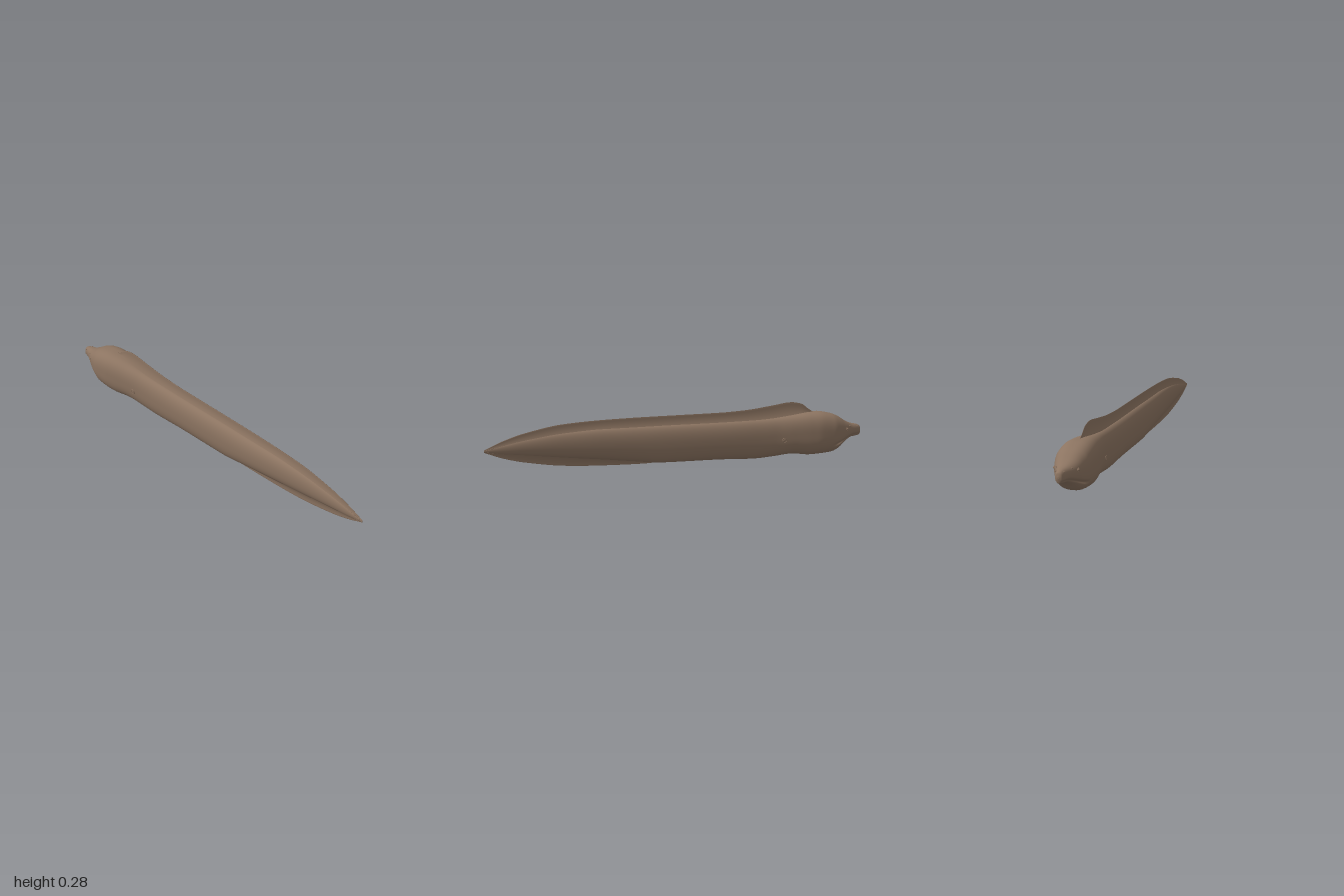
import * as THREE from 'three';

const skin = new THREE.MeshStandardMaterial({ color: 0x8c7461, side: THREE.DoubleSide });
skin.name = 'brown skin';

// Body stations from snout to tail: z, bottom, top, half width, squareness
const BODY = [
  [-1, 0.118, 0.128, 0.004, 2], [-0.995, 0.098, 0.146, 0.016, 2.2], [-0.98, 0.094, 0.154, 0.022, 2.3],
  [-0.94, 0.088, 0.163, 0.036, 2.3], [-0.9, 0.066, 0.182, 0.058, 2.4], [-0.86, 0.034, 0.207, 0.074, 2.5],
  [-0.82, 0.018, 0.222, 0.085, 2.6], [-0.75, 0.012, 0.233, 0.087, 2.7], [-0.7, 0.01, 0.232, 0.082, 2.7],
  [-0.6, 0.02, 0.222, 0.067, 2.6], [-0.5, 0.011, 0.212, 0.054, 2.5], [-0.4, 0.005, 0.207, 0.05, 2.4],
  [-0.2, 0.012, 0.205, 0.048, 2.3], [0.1, 0.016, 0.206, 0.045, 2.3], [0.25, 0.032, 0.206, 0.042, 2.2],
  [0.4, 0.05, 0.206, 0.038, 2.2], [0.6, 0.071, 0.197, 0.028, 2.1], [0.8, 0.094, 0.172, 0.016, 2],
  [0.92, 0.108, 0.148, 0.008, 2], [1, 0.122, 0.13, 0.002, 2]
];
// Fin edges: z, y
const DORSAL = [
  [-0.74, 0.225], [-0.7, 0.25], [-0.66, 0.278], [-0.6, 0.288], [-0.5, 0.276], [-0.35, 0.259], [-0.2, 0.253],
  [0.2, 0.252], [0.4, 0.249], [0.6, 0.239], [0.8, 0.204], [0.9, 0.174], [1, 0.132]
];
const ANAL = [[0.1, 0.02], [0.2, 0.016], [0.4, 0.02], [0.6, 0.031], [0.8, 0.06], [0.9, 0.084], [1, 0.12]];

// Smooth interpolation through table rows by their first column
function sample(table, z, col) {
  const n = table.length;
  let i = 0;
  while (i < n - 2 && z > table[i + 1][0]) i++;
  const slope = k => {
    if (k === 0 || k === n - 1) {
      const j = k === 0 ? 0 : n - 2;
      return (table[j + 1][col] - table[j][col]) / (table[j + 1][0] - table[j][0]);
    }
    const a = (table[k][col] - table[k - 1][col]) / (table[k][0] - table[k - 1][0]);
    const b = (table[k + 1][col] - table[k][col]) / (table[k + 1][0] - table[k][0]);
    return a * b <= 0 ? 0 : 2 * a * b / (a + b);
  };
  const h = table[i + 1][0] - table[i][0];
  const t = THREE.MathUtils.clamp((z - table[i][0]) / h, 0, 1), t2 = t * t, t3 = t2 * t;
  return (2 * t3 - 3 * t2 + 1) * table[i][col] + (t3 - 2 * t2 + t) * h * slope(i)
    + (3 * t2 - 2 * t3) * table[i + 1][col] + (t3 - t2) * h * slope(i + 1);
}

// Joins counter-clockwise xy rings that advance along +z, with fan caps
function loft(z0, z1, steps, ringAt, name) {
  const pos = [], index = [];
  let m = 0;
  for (let i = 0; i <= steps; i++) {
    const z = z0 + (z1 - z0) * (1 - Math.cos(Math.PI * i / steps)) / 2;
    const ring = ringAt(z);
    m = ring.length;
    ring.forEach(p => pos.push(p[0], p[1], z));
  }
  for (let i = 0; i < steps; i++) {
    for (let j = 0; j < m; j++) {
      const a = i * m + j, b = i * m + (j + 1) % m;
      index.push(a, b, a + m, b, b + m, a + m);
    }
  }
  for (let j = 1; j < m - 1; j++) {
    index.push(0, j + 1, j);
    index.push(steps * m, steps * m + j, steps * m + j + 1);
  }
  const geo = new THREE.BufferGeometry();
  geo.setAttribute('position', new THREE.Float32BufferAttribute(pos, 3));
  geo.setIndex(index);
  geo.computeVertexNormals();
  const mesh = new THREE.Mesh(geo, skin);
  mesh.name = name;
  return mesh;
}

// Rounded body section with the mouth pressed in as a groove
function bodyRing(z) {
  const [lo, hi, w, n] = [1, 2, 3, 4].map(c => sample(BODY, z, c));
  const mouthY = 0.104 - 0.04 * THREE.MathUtils.smoothstep(z, -0.97, -0.81);
  const depth = 0.16 * (1 - THREE.MathUtils.smoothstep(z, -0.85, -0.81));
  const ring = [];
  for (let j = 0; j < 112; j++) {
    const a = j / 112 * Math.PI * 2, c = Math.cos(a), s = Math.sin(a);
    const y = (lo + hi) / 2 + (hi - lo) / 2 * Math.sign(s) * Math.abs(s) ** (2 / n);
    const x = w * Math.sign(c) * Math.abs(c) ** (2 / n);
    const groove = depth * Math.exp(-(((y - mouthY) / 0.006) ** 2));
    ring.push([x * (1 - groove), y]);
  }
  return ring;
}

// Thin fin section that flares into the body at its root
function finRing(z, table, side) {
  const w = sample(BODY, z, 3), lo = sample(BODY, z, 1), hi = sample(BODY, z, 2);
  const edge = sample(table, z, 1);
  const root = side > 0 ? hi - 0.12 * (hi - lo) : lo + 0.12 * (hi - lo);
  const half = [];
  for (let k = 0; k <= 8; k++) {
    const s = k / 8;
    half.push([Math.min(w, 0.05) * 0.5 * (1 - s) ** 2.5 + 0.0008, root + (edge - root) * s]);
  }
  const other = half.slice().reverse().map(([x, y]) => [-x, y]);
  const ring = [...half, ...other];
  return side > 0 ? ring : ring.map(([x, y]) => [-x, y]);
}

// Point on the flank at a given height
function flank(z, y, side) {
  const [lo, hi, w, n] = [1, 2, 3, 4].map(c => sample(BODY, z, c));
  const t = Math.min(1, Math.abs((y - (lo + hi) / 2) / ((hi - lo) / 2)));
  return new THREE.Vector3(side * w * (1 - t ** n) ** (1 / n), y, z);
}

// Outward direction of the flank
function flankNormal(z, y, side) {
  const e = 0.004;
  const dz = flank(z + e, y, side).sub(flank(z - e, y, side));
  const dy = flank(z, y + e, side).sub(flank(z, y - e, side));
  return dy.cross(dz).normalize().multiplyScalar(side);
}

function attach(group, geometry, name, z, y, side) {
  const mesh = new THREE.Mesh(geometry, skin);
  mesh.name = name;
  mesh.position.copy(flank(z, y, side));
  mesh.quaternion.setFromUnitVectors(new THREE.Vector3(0, 0, 1), flankNormal(z, y, side));
  group.add(mesh);
  return mesh;
}

export function createModel() {
  const group = new THREE.Group();
  group.name = 'eel';
  group.add(loft(-1, 1, 190, bodyRing, 'body'));
  group.add(loft(-0.74, 1, 100, z => finRing(z, DORSAL, 1), 'dorsalFin'));
  group.add(loft(0.1, 1, 60, z => finRing(z, ANAL, -1), 'analFin'));

  // Paired details: eyes, nostrils and gill openings
  for (const side of [1, -1]) {
    const tag = side > 0 ? 'left' : 'right';
    attach(group, new THREE.SphereGeometry(0.0065, 16, 12), tag + 'Eye', -0.9, 0.14, side);
    attach(group, new THREE.TorusGeometry(0.0075, 0.0015, 8, 24), tag + 'EyeRim', -0.9, 0.14, side);
    attach(group, new THREE.SphereGeometry(0.0035, 12, 8), tag + 'RearNostril', -0.925, 0.152, side);
    attach(group, new THREE.CylinderGeometry(0.002, 0.003, 0.008, 10).rotateX(Math.PI / 2),
      tag + 'FrontNostril', -0.975, 0.146, side);
    attach(group, new THREE.TorusGeometry(0.011, 0.0025, 8, 28), tag + 'GillRim', -0.545, 0.1, side);
    attach(group, new THREE.SphereGeometry(0.009, 16, 12).scale(1, 1, 0.2), tag + 'GillOpening', -0.545, 0.1, side);
  }
  return group;
}
